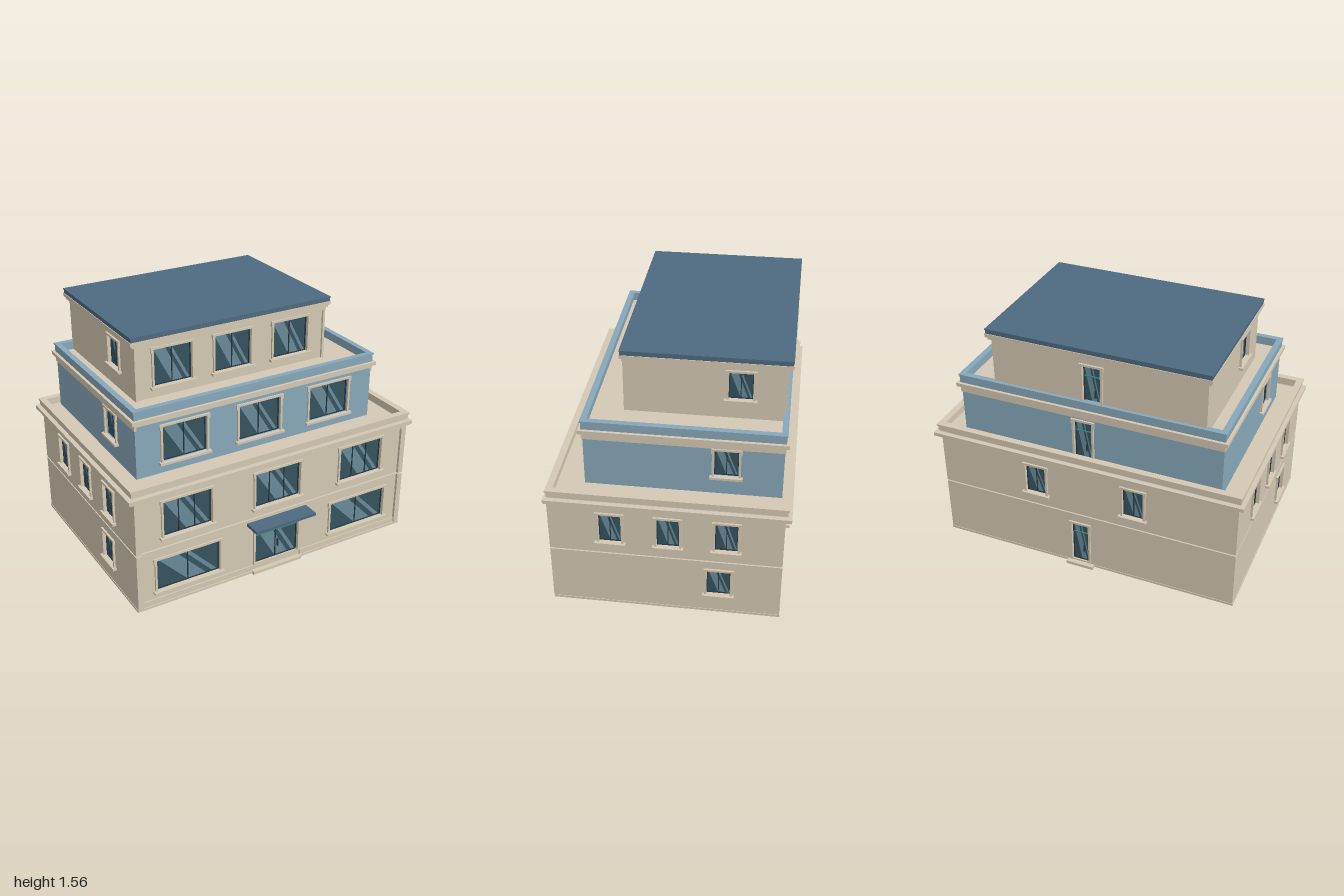
import * as THREE from 'three';

const mat = (color) => new THREE.MeshStandardMaterial({ color });
const CREAM = mat(0xd5c9b4), BLUE = mat(0x88a8ba), ROOF = mat(0x4e6a80), PALE = mat(0xe6e1d6);
const GLASS = mat(0x35535f), SHINE = mat(0x6a8b99), FRAME = mat(0x263a45), TEAL = mat(0x2f8f8a);

// Box given by its min and max corners
function box(parent, name, material, x0, x1, y0, y1, z0, z1) {
  const m = new THREE.Mesh(new THREE.BoxGeometry(x1 - x0, y1 - y0, z1 - z0), material);
  m.position.set((x0 + x1) / 2, (y0 + y1) / 2, (z0 + z1) / 2);
  m.name = name;
  parent.add(m);
  return m;
}

function rectPath(Type, x0, x1, y0, y1) {
  const p = new Type();
  p.moveTo(x0, y0);
  p.lineTo(x1, y0);
  p.lineTo(x1, y1);
  p.lineTo(x0, y1);
  p.closePath();
  return p;
}

// Hollow rectangular ring lying flat, used for parapets
function ring(parent, name, material, f, grow, width, y0, y1) {
  const x0 = f.x0 - grow, x1 = f.x1 + grow, a = -f.z1 - grow, b = -f.z0 + grow;
  const s = rectPath(THREE.Shape, x0, x1, a, b);
  s.holes.push(rectPath(THREE.Path, x0 + width, x1 - width, a + width, b - width));
  const g = new THREE.ExtrudeGeometry(s, { depth: y1 - y0, bevelEnabled: false });
  g.rotateX(-Math.PI / 2);
  const m = new THREE.Mesh(g, material);
  m.position.y = y0;
  m.name = name;
  parent.add(m);
}

// Slab covering a footprint, enlarged by grow
function slab(parent, name, material, f, grow, y0, y1) {
  box(parent, name, material, f.x0 - grow, f.x1 + grow, y0, y1, f.z0 - grow, f.z1 + grow);
}

// Glazing, mullions, surround and sill of one opening; the wall face is z = 0
function opening(parent, o) {
  const g = new THREE.Group();
  g.name = o.door ? 'door' : 'window';
  parent.add(g);
  const x0 = o.u - o.w / 2, x1 = o.u + o.w / 2, { y0, y1 } = o, h = y1 - y0;
  box(g, 'glass', GLASS, x0, x1, y0, y1, -0.028, -0.018);

  // Diagonal reflections across the panes
  const n = o.panes, gap = 0.005;
  for (const [top, width] of [[0.02, 0.3], [0.42, 0.08]]) {
    const s = new THREE.Shape();
    s.moveTo(x0 + top * o.w, y1);
    s.lineTo(x0 + (top + 0.48) * o.w, y0);
    s.lineTo(x0 + (top + 0.48 + width) * o.w, y0);
    s.lineTo(x0 + (top + width) * o.w, y1);
    const m = new THREE.Mesh(new THREE.ShapeGeometry(s), SHINE);
    m.position.z = -0.0165;
    m.name = 'reflection';
    g.add(m);
  }

  // Dark sash
  for (let i = 0; i <= n; i++) {
    const x = THREE.MathUtils.lerp(x0 + gap / 2, x1 - gap / 2, i / n);
    box(g, 'mullion', FRAME, x - gap / 2, x + gap / 2, y0, y1, -0.018, -0.01);
  }
  box(g, 'sashBottom', FRAME, x0, x1, y0, y0 + gap, -0.018, -0.01);
  box(g, 'sashTop', FRAME, x0, x1, y1 - gap, y1, -0.018, -0.01);

  // Surround with small ears at the top
  const t = 0.013;
  for (const [a, b, e] of [[x0 - t, x0, x0 - t - 0.006], [x1, x1 + t, x1 + t]]) {
    box(g, 'jamb', CREAM, a, b, y0, y1, -0.004, 0.012);
    box(g, 'ear', CREAM, e, e + 0.006, y1 - 0.02, y1 + t, -0.004, 0.012);
  }
  box(g, 'lintel', CREAM, x0 - t, x1 + t, y1, y1 + t, -0.004, 0.012);

  if (o.door) {
    const ty = y0 + h * 0.73;
    box(g, 'transom', TEAL, x0, x1, ty, ty + 0.006, -0.018, -0.011);
    box(g, 'handle', FRAME, o.u + 0.014, o.u + 0.02, y0 + 0.07, y0 + 0.12, -0.018, -0.004);
  } else {
    box(g, 'sill', CREAM, x0 - 0.025, x1 + 0.025, y0 - 0.015, y0, -0.004, 0.026);
  }
}

// Four pierced walls round a footprint; lists run front, right, back, left
function storey(parent, name, material, f, y0, y1, lists) {
  const g = new THREE.Group();
  g.name = name;
  parent.add(g);
  const T = 0.03, cx = (f.x0 + f.x1) / 2, cz = (f.z0 + f.z1) / 2;
  const W = f.x1 - f.x0, D = f.z1 - f.z0;
  const places = [[cx, f.z1, 0, W], [f.x1, cz, 1, D - 2 * T], [cx, f.z0, 2, W], [f.x0, cz, 3, D - 2 * T]];
  places.forEach(([x, z, turn, len], i) => {
    const side = new THREE.Group();
    side.name = ['front', 'right', 'back', 'left'][i] + 'Facade';
    side.position.set(x, 0, z);
    side.rotation.y = turn * Math.PI / 2;
    g.add(side);
    const s = rectPath(THREE.Shape, -len / 2, len / 2, y0, y1);
    for (const o of lists[i]) {
      s.holes.push(rectPath(THREE.Path, o.u - o.w / 2, o.u + o.w / 2, o.y0, o.y1));
      opening(side, o);
    }
    const wall = new THREE.Mesh(new THREE.ExtrudeGeometry(s, { depth: T, bevelEnabled: false }), material);
    wall.position.z = -T;
    wall.name = 'wall';
    side.add(wall);
  });
}

const row = (us, w, y0, y1, panes = 2, door = false) => us.map((u) => ({ u, w, y0, y1, panes, door }));

export function createModel() {
  const model = new THREE.Group();
  model.name = 'building';
  const low = { x0: -0.965, x1: 0.965, z0: -0.72, z1: 0.64 };
  const mid = { x0: -0.85, x1: 0.80, z0: -0.69, z1: 0.46 };
  const top = { x0: -0.74, x1: 0.575, z0: -0.68, z1: 0.245 };

  // Plinth and entrance steps
  box(model, 'plinth', CREAM, -0.968, 0.968, 0.005, 0.02, -0.723, 0.655);
  box(model, 'frontStep', CREAM, -0.18, 0.175, 0, 0.02, 0.6, 0.67);
  box(model, 'backStep', CREAM, -0.06, 0.12, 0, 0.02, -0.75, -0.7);

  // Ground floor
  const sideLow = row([0.31], 0.14, 0.145, 0.325);
  storey(model, 'groundFloor', CREAM, low, 0.02, 0.39, [
    [...row([-0.62, 0.617], 0.425, 0.107, 0.32), ...row([0], 0.315, 0.06, 0.32, 2, true)],
    sideLow, row([-0.03], 0.11, 0.03, 0.32, 1, true), sideLow]);
  slab(model, 'stringCourse', PALE, low, -0.008, 0.39, 0.4);

  // First floor
  const sideUp = row([-0.33, 0.01, 0.35], 0.132, 0.483, 0.68);
  storey(model, 'firstFloor', CREAM, low, 0.4, 0.75, [
    row([-0.62, 0, 0.62], 0.32, 0.467, 0.7, 3), sideUp,
    row([-0.32, 0.32], 0.132, 0.483, 0.68), sideUp]);

  // Front corner strips, skirting and frieze
  for (const [y0, y1] of [[0.02, 0.39], [0.4, 0.75]]) {
    box(model, 'cornerStrip', CREAM, -0.965, -0.93, y0, y1, 0.635, 0.657);
    box(model, 'cornerStrip', CREAM, 0.93, 0.965, y0, y1, 0.635, 0.657);
  }
  for (const [a, b] of [[-0.93, -0.175], [0.175, 0.93]])
    box(model, 'skirting', CREAM, a, b, 0.02, 0.055, 0.635, 0.648);
  box(model, 'frieze', CREAM, -0.93, 0.93, 0.73, 0.75, 0.635, 0.657);

  // Entrance canopy
  box(model, 'canopy', ROOF, -0.215, 0.215, 0.352, 0.371, 0.63, 0.75);

  // Lower cornice, terrace and parapet
  const lowTop = { x0: -0.965, x1: 0.965, z0: -0.72, z1: 0.64 };
  slab(model, 'lowerCorniceBed', CREAM, lowTop, 0.022, 0.742, 0.752);
  slab(model, 'lowerCornice', CREAM, { ...lowTop, z1: 0.635 }, 0.035, 0.752, 0.775);
  ring(model, 'parapetJoint', PALE, lowTop, 0.006, 0.025, 0.775, 0.784);
  ring(model, 'lowerParapet', CREAM, lowTop, 0.012, 0.034, 0.784, 0.818);
  ring(model, 'lowerCoping', CREAM, lowTop, 0.018, 0.042, 0.818, 0.83);

  // Second floor, set back, with blue walls
  const sideMid = row([0.25], 0.14, 0.9, 1.075);
  storey(model, 'secondFloor', BLUE, mid, 0.775, 1.13, [
    row([-0.51, 0, 0.505], 0.29, 0.847, 1.075), sideMid,
    row([-0.03], 0.11, 0.79, 1.065, 1, true), sideMid]);
  box(model, 'frontBand', CREAM, -0.855, 0.805, 1.11, 1.13, 0.44, 0.466);
  box(model, 'backBand', CREAM, -0.855, 0.805, 1.087, 1.13, -0.695, -0.68);
  box(model, 'leftBand', CREAM, 0.79, 0.806, 1.087, 1.13, -0.695, 0.466);
  box(model, 'rightBand', CREAM, -0.856, -0.84, 1.087, 1.13, -0.695, 0.466);
  slab(model, 'middleCornice', CREAM, mid, 0.024, 1.13, 1.153);
  ring(model, 'middleParapet', BLUE, mid, 0.006, 0.026, 1.153, 1.2);
  ring(model, 'middleCoping', BLUE, mid, 0.011, 0.036, 1.2, 1.209);

  // Third floor
  const sideTop = row([0.2], 0.14, 1.28, 1.455);
  storey(model, 'thirdFloor', CREAM, top, 1.15, 1.5, [
    row([-0.408, -0.003, 0.408], 0.25, 1.222, 1.455), sideTop,
    row([-0.03], 0.11, 1.165, 1.44, 1, true), sideTop]);
  box(model, 'topCornerStrip', CREAM, -0.74, -0.725, 1.15, 1.5, 0.24, 0.258);
  box(model, 'topCornerStrip', CREAM, 0.56, 0.575, 1.15, 1.5, 0.24, 0.258);
  box(model, 'topFrieze', CREAM, -0.725, 0.56, 1.473, 1.5, 0.24, 0.258);

  // Top cornice and flat roof
  slab(model, 'topCorniceBed', CREAM, top, 0.016, 1.49, 1.508);
  slab(model, 'topCornice', CREAM, top, 0.028, 1.508, 1.53);
  slab(model, 'roof', ROOF, top, 0.024, 1.53, 1.553);
  slab(model, 'roofEdge', ROOF, top, 0.027, 1.553, 1.56);
  return model;
}
